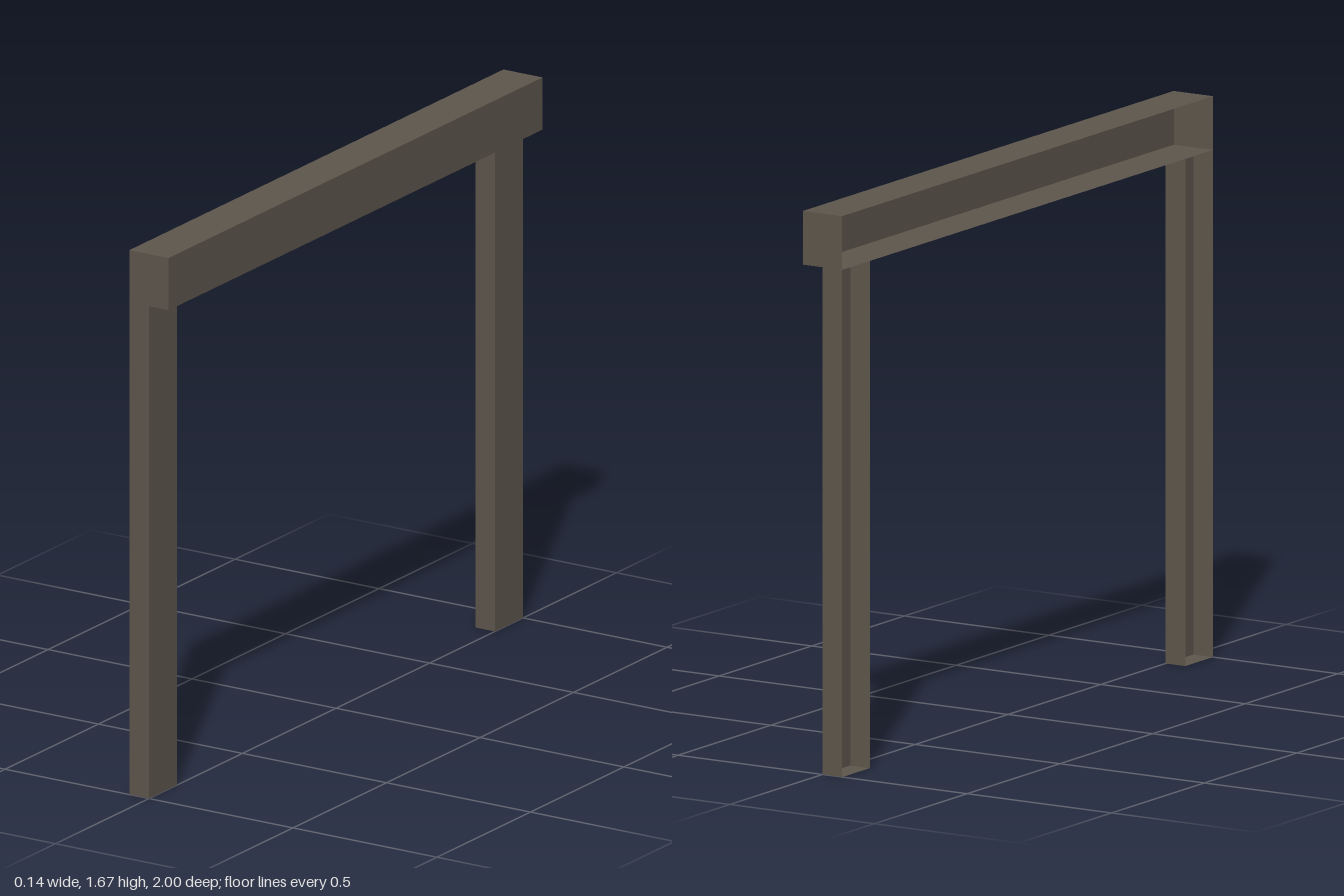
import * as THREE from 'three';

// Box between two corners, without the listed sides (0:+x 1:-x 2:+y 3:-y 4:+z 5:-z)
function openBox(name, min, max, openSides, material) {
  const size = max.map((v, i) => v - min[i]);
  const geometry = new THREE.BoxGeometry(...size);
  geometry.setIndex(Array.from(geometry.index.array)
    .filter((_, i) => !openSides.includes(Math.floor(i / 6))));
  geometry.clearGroups();
  const mesh = new THREE.Mesh(geometry, material);
  mesh.name = name;
  mesh.position.set(...min.map((v, i) => v + size[i] / 2));
  return mesh;
}

export function createModel() {
  const model = new THREE.Group();
  model.name = 'doorFrame';
  const wood = new THREE.MeshStandardMaterial({ color: 0x5e564c, side: THREE.DoubleSide });
  wood.name = 'dark weathered wood';

  const half = 0.068, beamBottom = 1.51, top = 1.67, postWidth = 0.15;

  // Lintel, hollow and open on the wall side
  model.add(openBox('lintel', [-half, beamBottom, -1], [half, top, 1], [1], wood));

  // Posts, open on the wall side and under the lintel
  model.add(openBox('frontPost', [-half, 0, 1 - postWidth], [0, beamBottom, 1], [1, 2], wood));
  model.add(openBox('backPost', [-half, 0, -1], [0, beamBottom, -1 + postWidth], [1, 2], wood));

  return model;
}
